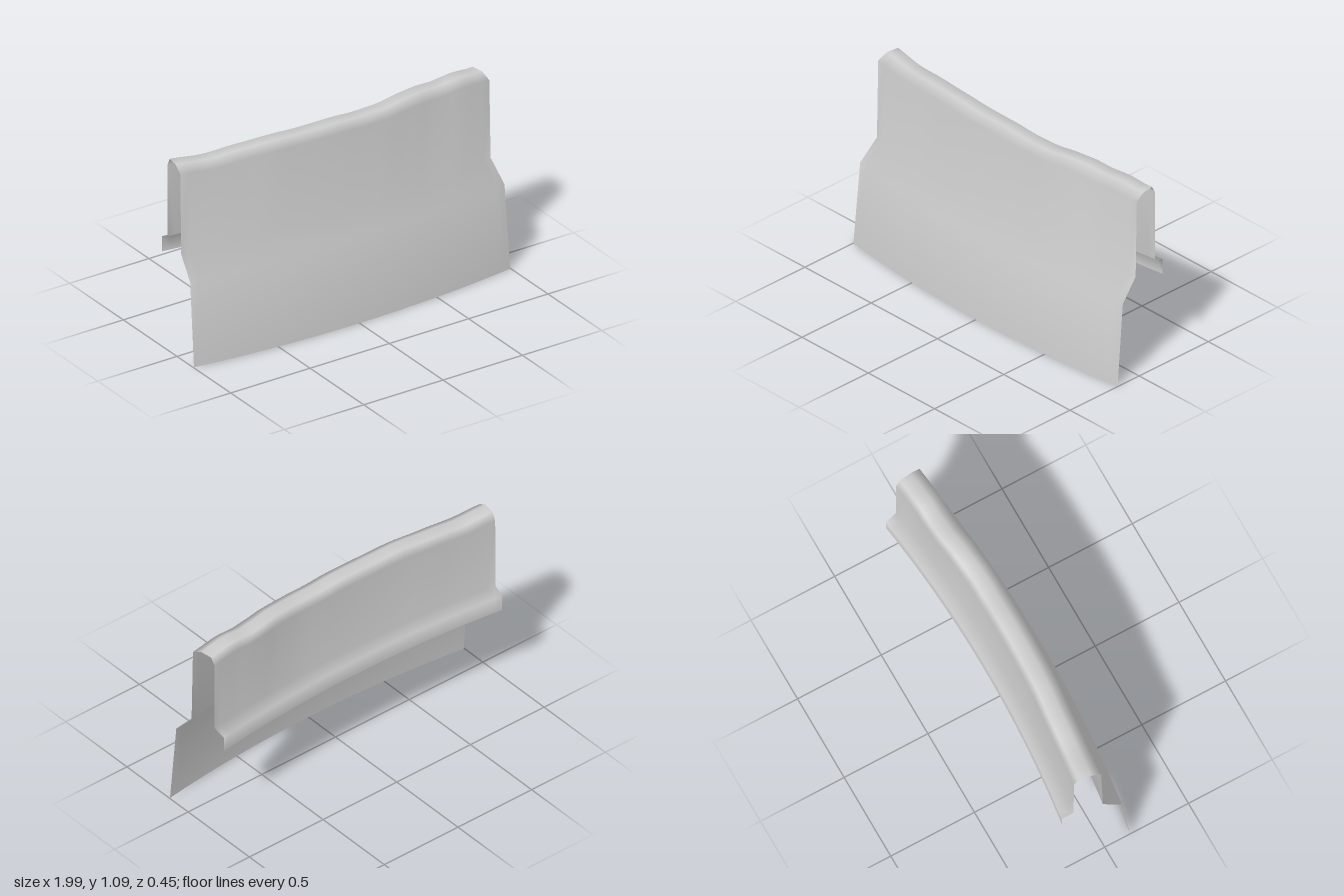
import * as THREE from 'three';

const SPAN = 0.1396;   // half angle of the arc
const RADIUS = 6.94;   // arc radius at z = 0
const COLUMNS = 40;

// Cross-section at the middle, from front hem over the top to the back lip:
// [z, y, share of the uneven top edge]
const PROFILE = [
  [0.222, 0, 0], [0.178, 0.48, 0], [0.07, 0.595, 0], [0.062, 1.052, 0.8],
  [0.005, 1.083, 1], [-0.066, 1.083, 1], [-0.091, 1.04, 0.8],
  [-0.093, 0.625, 0], [-0.158, 0.595, 0], [-0.158, 0.505, 0],
];

// Unevenness of the top: [x, rise, shift in z]
const RIPPLE = [
  [-1, 0.009, 0], [-0.8, -0.008, -0.004], [-0.6, 0.001, -0.006], [-0.4, 0.007, 0],
  [-0.2, 0.002, 0], [0, 0.002, 0], [0.17, -0.007, 0], [0.3, -0.005, 0.002],
  [0.5, 0.007, -0.008], [0.6, 0.005, -0.017], [0.7, -0.002, -0.016],
  [0.83, 0.008, -0.007], [1, -0.006, -0.002],
];

// Smooth interpolation between ripple points
function rippleAt(x) {
  let i = 0;
  while (i < RIPPLE.length - 2 && x > RIPPLE[i + 1][0]) i++;
  const [a, b] = [RIPPLE[i], RIPPLE[i + 1]];
  const t = THREE.MathUtils.smoothstep(x, a[0], b[0]);
  return [THREE.MathUtils.lerp(a[1], b[1], t), THREE.MathUtils.lerp(a[2], b[2], t)];
}

// Sweep the cross-section along the arc
function curvedSheet() {
  const positions = [], indices = [], n = PROFILE.length;
  for (let c = 0; c <= COLUMNS; c++) {
    const u = (c / COLUMNS) * 2 - 1;
    const angle = u * SPAN;
    const [rise, shift] = rippleAt(u);
    for (const [z, y, share] of PROFILE) {
      const r = RADIUS + z + shift * share;
      positions.push(r * Math.sin(angle), y + rise * share, r * Math.cos(angle) - RADIUS);
    }
  }
  for (let c = 0; c < COLUMNS; c++) {
    for (let p = 0; p < n - 1; p++) {
      const a = c * n + p, b = a + n;
      indices.push(a, b, b + 1, a, b + 1, a + 1);
    }
  }
  const geometry = new THREE.BufferGeometry();
  geometry.setAttribute('position', new THREE.Float32BufferAttribute(positions, 3));
  geometry.setIndex(indices);
  geometry.computeVertexNormals();
  return geometry;
}

export function createModel() {
  const group = new THREE.Group();
  group.name = 'curvedPanel';
  const grey = new THREE.MeshStandardMaterial({ color: 0xcccccc, side: THREE.DoubleSide });
  grey.name = 'light grey';
  const sheet = new THREE.Mesh(curvedSheet(), grey);
  sheet.name = 'foldedSheet';
  group.add(sheet);
  return group;
}
